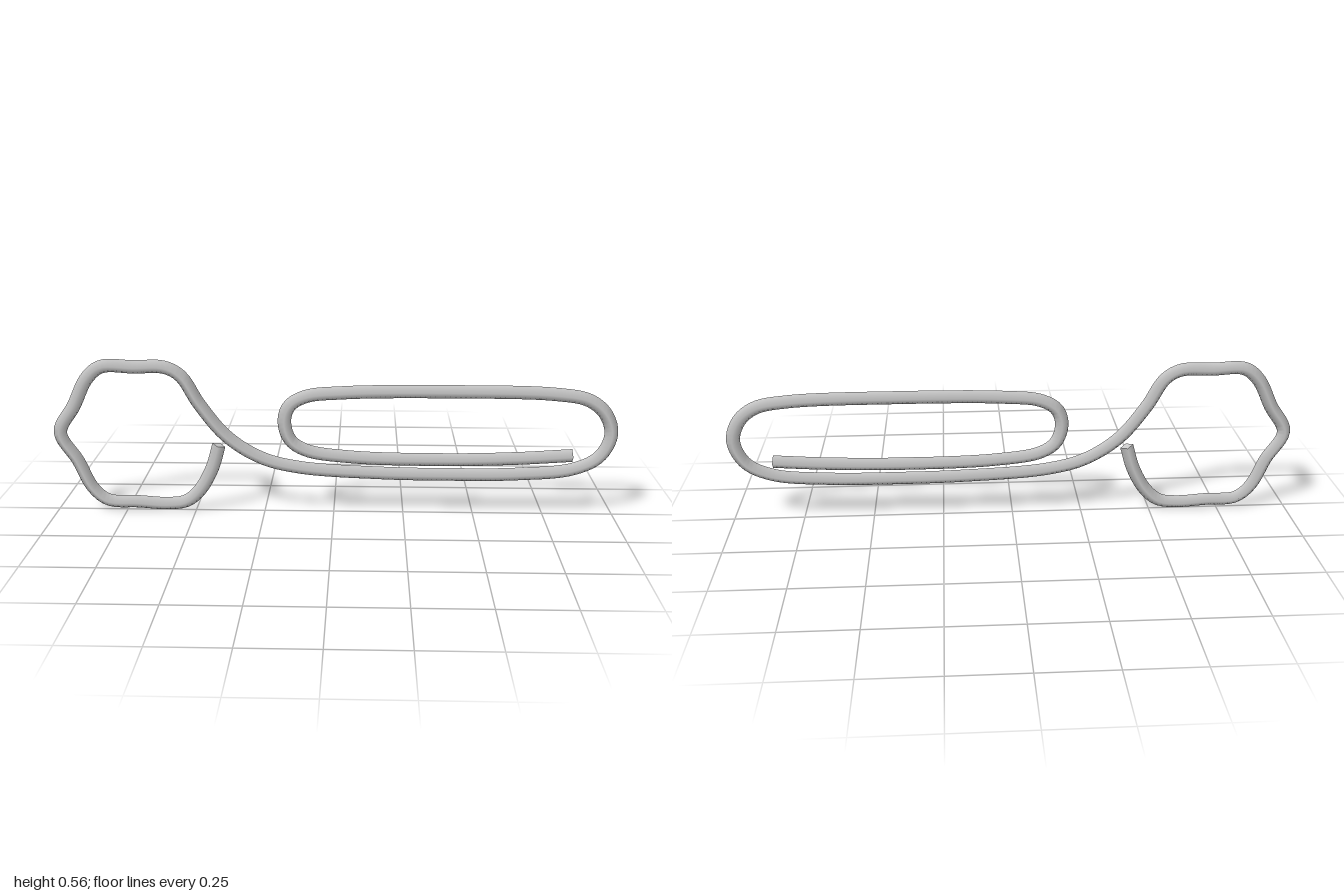
import * as THREE from 'three';

const RADIUS = 0.024;

// Centre line of the bent wire, from the short hook end to the inner tongue
const PATH = [
  // open six-sided loop
  [-0.41, 0.253], [-0.437, 0.165], [-0.485, 0.08], [-0.535, 0.038], [-0.6, 0.028],
  [-0.71, 0.034], [-0.82, 0.04], [-0.872, 0.085], [-0.92, 0.19], [-0.976, 0.295],
  [-0.92, 0.395], [-0.868, 0.495], [-0.815, 0.538], [-0.7, 0.538], [-0.59, 0.537],
  [-0.535, 0.505], [-0.475, 0.405], [-0.38, 0.285], [-0.26, 0.207],
  // long outer loop
  [-0.125, 0.172], [0.17, 0.153], [0.41, 0.15], [0.65, 0.154], [0.85, 0.175],
  [0.94, 0.222], [0.976, 0.305], [0.95, 0.382], [0.89, 0.43], [0.78, 0.45],
  [0.41, 0.457], [0.03, 0.45], [-0.1, 0.435], [-0.157, 0.4], [-0.175, 0.345],
  // inner tongue
  [-0.155, 0.275], [-0.1, 0.237], [0.06, 0.213], [0.41, 0.206], [0.65, 0.213], [0.845, 0.226],
];

export function createModel() {
  const group = new THREE.Group();
  group.name = 'bentWireClip';
  const material = new THREE.MeshStandardMaterial({ color: 0xcccccc });

  const curve = new THREE.CatmullRomCurve3(PATH.map(([x, y]) => new THREE.Vector3(x, y, 0)));
  curve.arcLengthDivisions = 1000;

  // Wire with a smooth-shaded, four-sided diamond section
  const wire = new THREE.Mesh(new THREE.TubeGeometry(curve, 320, RADIUS, 4, false), material);
  wire.name = 'wire';
  group.add(wire);

  // Flat caps on both cut ends
  for (const [name, t, sign] of [['hookEnd', 0, -1], ['tongueEnd', 1, 1]]) {
    const cap = new THREE.Mesh(new THREE.CircleGeometry(RADIUS, 4), material);
    cap.name = name;
    cap.position.copy(curve.getPointAt(t));
    cap.lookAt(cap.position.clone().addScaledVector(curve.getTangentAt(t), sign));
    group.add(cap);
  }

  return group;
}
